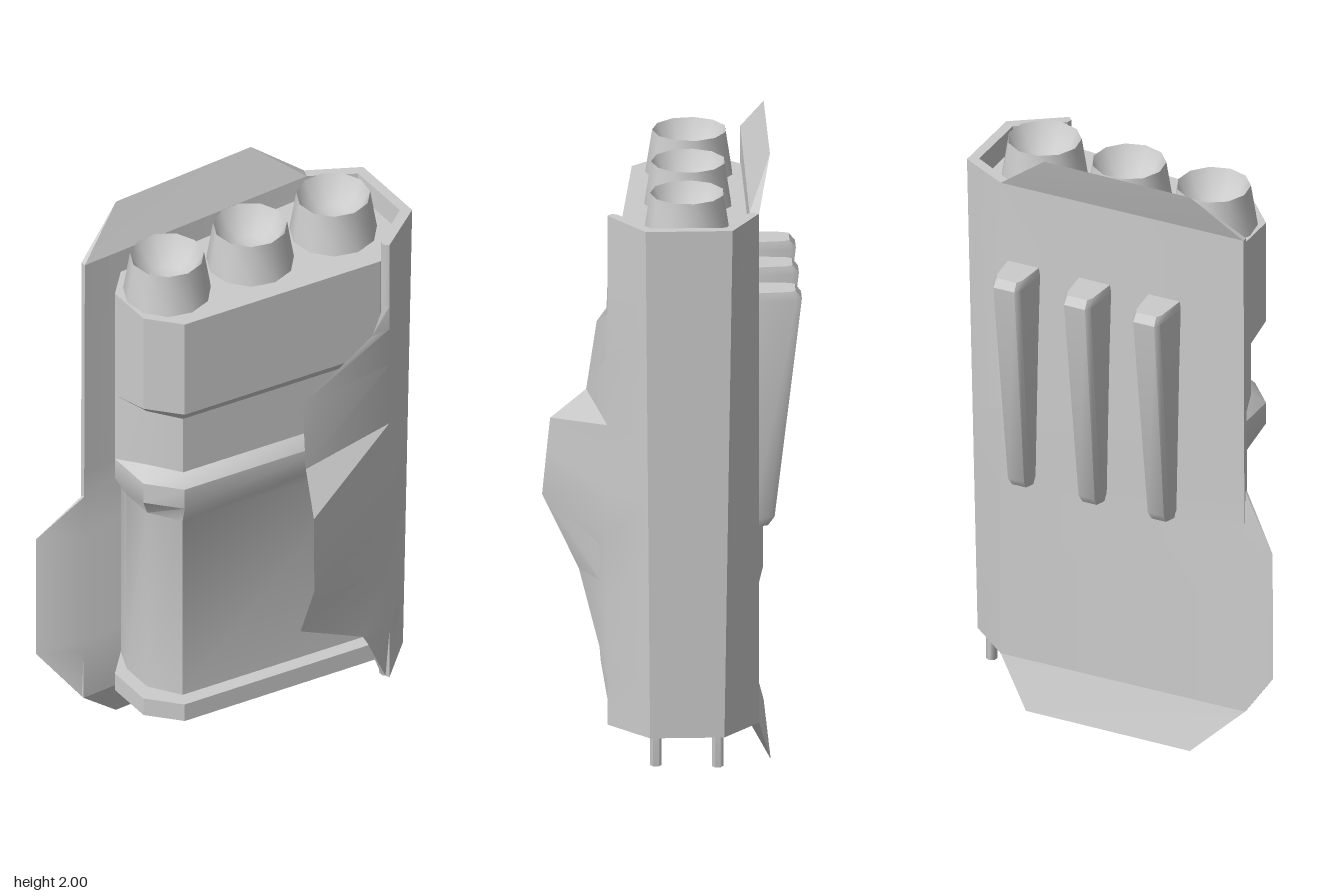
import * as THREE from 'three';
import { toCreasedNormals } from 'three/addons/utils/BufferGeometryUtils.js';

const material = new THREE.MeshStandardMaterial({ color: 0xcccccc, side: THREE.DoubleSide });

// Skin closed rings of [x, y, z] (bottom to top, counterclockwise from above) and cap both ends.
function loft(rings, crease = 0.6) {
  const pos = [];
  const tri = (a, b, c) => {
    const [p, q, r] = [a, b, c].map((v) => new THREE.Vector3(...v));
    if (q.sub(p).cross(r.sub(p)).length() > 1e-7) pos.push(...a, ...b, ...c);
  };
  const quad = (a, b, c, d) => { tri(a, b, c); tri(a, c, d); };
  const n = rings[0].length;
  for (let r = 0; r < rings.length - 1; r++) {
    for (let i = 0; i < n; i++) {
      const j = (i + 1) % n;
      quad(rings[r][i], rings[r][j], rings[r + 1][j], rings[r + 1][i]);
    }
  }
  const top = rings[rings.length - 1], bottom = rings[0];
  for (let i = 0; i < n / 2 - 1; i++) {
    quad(top[i], top[i + 1], top[n - 2 - i], top[n - 1 - i]);
    quad(bottom[n - 1 - i], bottom[n - 2 - i], bottom[i + 1], bottom[i]);
  }
  const geo = new THREE.BufferGeometry();
  geo.setAttribute('position', new THREE.Float32BufferAttribute(pos, 3));
  return toCreasedNormals(geo, crease);
}

export function createModel() {
  const model = new THREE.Group();
  const add = (name, geo, x = 0, y = 0, z = 0) => {
    const mesh = new THREE.Mesh(geo, material);
    mesh.name = name;
    mesh.position.set(x, y, z);
    model.add(mesh);
    return mesh;
  };

  // Core: an eight-sided block, waisted at the front and left. [y, front inset, back inset]
  const coreRows = [
    [0.22, 0, 0], [0.285, 0, 0], [0.286, 0.045, 0.045], [0.97, 0.045, 0.045],
    [1.055, 0, 0], [1.13, 0, 0], [1.17, 0.035, 0], [1.38, 0.035, 0],
    [1.425, 0, 0], [1.78, 0, 0],
  ];
  add('core', loft(coreRows.map(([y, f, b]) => [
    [0.4, y, 0.18 - f], [0.54, y, 0.08 - f], [0.54, y, -0.15], [0.4, y, -0.235],
    [-0.31, y, -0.235], [-0.39 + b, y, -0.15], [-0.39 + f, y, 0.01 - f], [-0.3 + f * 0.5, y, 0.11 - f],
  ])));

  // Wrap-around shell. [y, flap edge x, flap edge z, wing reach beyond the back plate]
  const shellRows = [
    [0.16, 0.405, 0.2, 0], [0.34, 0.317, 0.232, 0.13], [0.38, 0.295, 0.235, 0.13],
    [0.55, 0.02, 0.29, 0.13], [0.79, -0.005, 0.405, 0.13], [0.95, 0.003, 0.39, 0],
    [1.05, 0.01, 0.38, 0], [1.16, 0.055, 0.268, 0], [1.39, 0.065, 0.235, 0],
    [1.53, 0.345, 0.215, 0], [1.62, 0.393, 0.205, 0], [1.86, 0.395, 0.2, 0],
  ];
  add('shell', loft(shellRows.map(([y, fx, fz, wing]) => {
    const t = (y - 0.16) / 1.7;
    const side = 0.55 + 0.025 * t, front = 0.085 + 0.015 * t, back = -0.15 - 0.025 * t;
    const left = -0.45 + 0.005 * t;
    const tip = [left - wing, y, -0.248 - wing * 0.52];
    return [
      // outside
      [fx, y, fz], [0.41, y, 0.215], [side, y, front], [side, y, back],
      [0.41, y, -0.265], [left, y, -0.256], tip,
      // inside
      tip, [left, y, -0.238], [0.4, y, -0.235], [side - 0.033, y, back + 0.02],
      [side - 0.033, y, front - 0.02], [0.4, y, 0.183], [fx, y, fz],
    ];
  })));

  // Tapered flared tabs at the top and bottom of the back plate
  const root = (y, left) => [[0.41, y, -0.265], [left, y, -0.256], [left, y, -0.238], [0.4, y, -0.235]];
  const edge = (y, right) => {
    const r = [right, y, -0.306], l = [-0.28, y, -0.306];
    return [r, l, l, r];
  };
  add('topTab', loft([root(1.86, -0.445), edge(2, 0.235)]));
  add('bottomTab', loft([edge(0, 0.3), root(0.16, -0.45)]));

  // Three open, tapered cups with dished insides
  const cup = [[0.14, 0], [0.118, 0.14], [0.118, 0.14], [0.09, 0.085], [0.05, 0.06], [0, 0.05]]
    .map(([r, y]) => new THREE.Vector2(r, y));
  const cupGeo = toCreasedNormals(new THREE.LatheGeometry(cup, 11), 0.7);
  for (let i = 0; i < 3; i++) {
    add('cup', cupGeo, -0.245 + i * 0.307, 1.78, -0.07 + i * 0.015);
  }

  // Three back fins, deepest at the top. [y, half width, depth]
  const finGeo = loft([
    [0.8, 0.04, 0.295], [0.83, 0.046, 0.316], [1.56, 0.06, 0.402], [1.585, 0.056, 0.382],
  ].map(([y, w, d]) => [
    [w, y, -0.245], [w * 0.8, y, -d + 0.02], [w * 0.62, y, -d],
    [-w * 0.62, y, -d], [-w * 0.8, y, -d + 0.02], [-w, y, -0.245],
  ]));
  for (const x of [-0.165, 0.08, 0.33]) add('backFin', finGeo, x);

  // Small pins and a block under the base
  const pinGeo = toCreasedNormals(new THREE.CylinderGeometry(0.018, 0.018, 0.24, 6), 1.1);
  add('pin', pinGeo, 0.494, 0.172, 0.065);
  add('pin', pinGeo, 0.51, 0.172, -0.13);
  add('baseBlock', new THREE.BoxGeometry(0.12, 0.1, 0.09), -0.24, 0.18, -0.193);

  return model;
}
